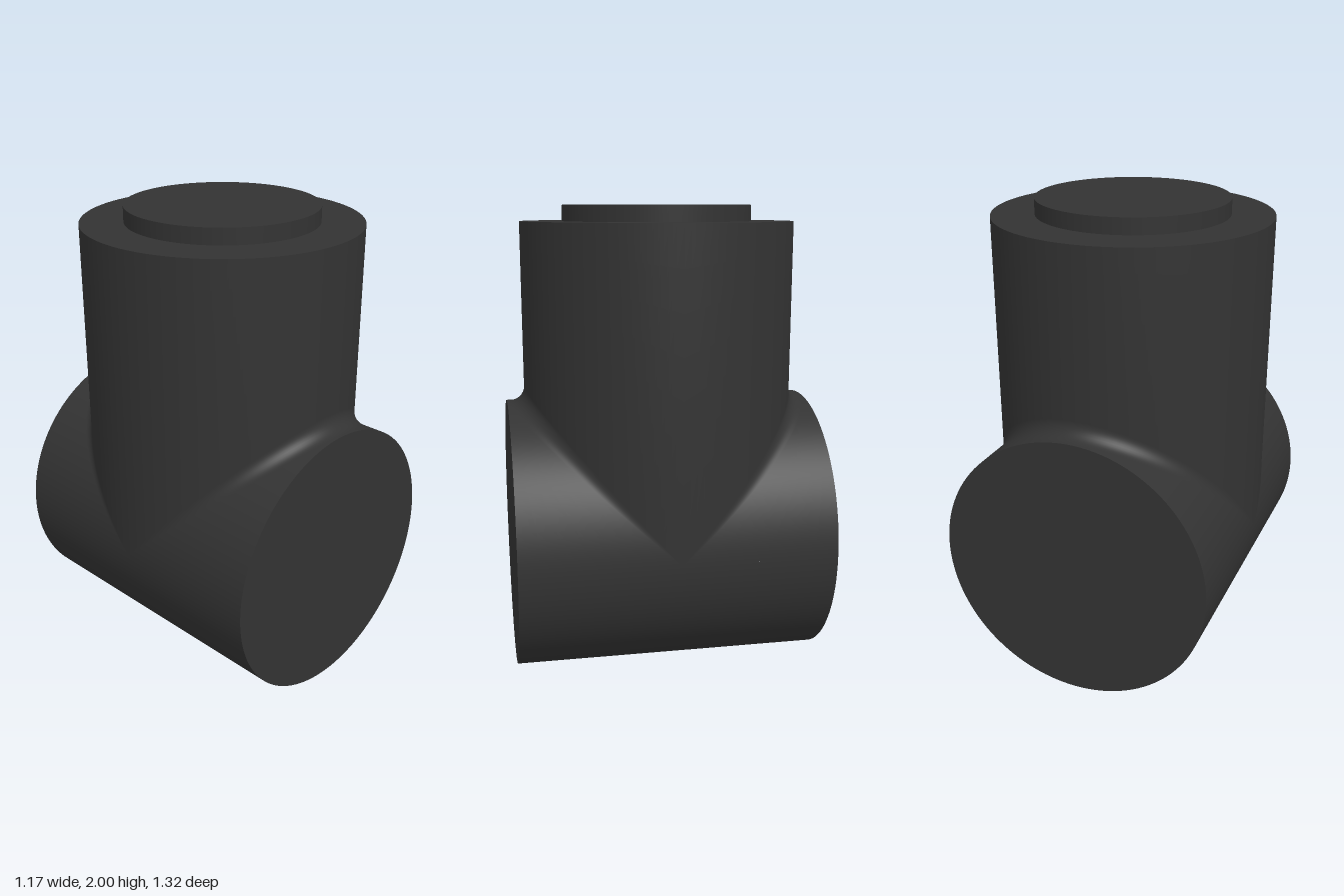
import * as THREE from 'three';

const R = 0.583;      // radius of both pipes
const FILLET = 0.065; // blend radius where they meet
const HALF = 0.658;   // half length of the horizontal pipe
const SHOULDER = 1.933, TOP = 2, STUB_R = 0.403;
const K = R + FILLET;

const material = new THREE.MeshStandardMaterial({ color: 0x333333 });

// Grid surface from fn(u, v) -> [position, normal]; faces are wound to agree with the normals
function patch(fn, nu, nv) {
  const pos = [], nor = [], index = [];
  for (let i = 0; i <= nu; i++) {
    for (let j = 0; j <= nv; j++) {
      const [p, n] = fn(i / nu, j / nv);
      pos.push(p.x, p.y, p.z);
      nor.push(n.x, n.y, n.z);
    }
  }
  const at = (arr, k) => new THREE.Vector3().fromArray(arr, k * 3);
  const tri = (a, b, c) => {
    const A = at(pos, a);
    const face = at(pos, b).sub(A).cross(at(pos, c).sub(A));
    if (face.length() < 1e-10) return;
    if (face.dot(at(nor, a)) > 0) index.push(a, b, c);
    else index.push(a, c, b);
  };
  for (let i = 0; i < nu; i++) {
    for (let j = 0; j < nv; j++) {
      const a = i * (nv + 1) + j, b = a + nv + 1;
      tri(a, b, b + 1);
      tri(a, b + 1, a + 1);
    }
  }
  const g = new THREE.BufferGeometry();
  g.setAttribute('position', new THREE.Float32BufferAttribute(pos, 3));
  g.setAttribute('normal', new THREE.Float32BufferAttribute(nor, 3));
  g.setIndex(index);
  return g;
}

const V = (x, y, z) => new THREE.Vector3(x, y, z);

export function createModel() {
  const model = new THREE.Group();
  const add = (name, geometry) => {
    const mesh = new THREE.Mesh(geometry, material);
    mesh.name = name;
    model.add(mesh);
    return mesh;
  };

  // Upright pipe, its lower edge trimmed along the blend
  add('uprightPipe', patch((u, v) => {
    const t = u * Math.PI * 2, s = Math.sin(t), c = Math.cos(t);
    const y = THREE.MathUtils.lerp(R + K * Math.abs(c), SHOULDER, v);
    return [V(R * s, y, R * c), V(s, 0, c)];
  }, 128, 8));

  // Lower half of the horizontal pipe
  add('crossPipeUnderside', patch((u, v) => {
    const t = Math.PI * (0.5 + u), s = Math.sin(t), c = Math.cos(t);
    return [V(R * s, R + R * c, HALF * (2 * v - 1)), V(s, c, 0)];
  }, 64, 8));

  for (const side of [1, -1]) {
    const end = side > 0 ? 'front' : 'back';

    // Upper half of the horizontal pipe, trimmed along the blend
    add(end + 'CrossPipe', patch((u, v) => {
      const t = Math.PI * (u - 0.5), s = Math.sin(t), c = Math.cos(t);
      const z = THREE.MathUtils.lerp(K * c, HALF, v);
      return [V(R * s, R + R * c, side * z), V(s, c, 0)];
    }, 64, 6));

    // Rolling-ball blend between the two pipes
    add(end + 'Fillet', patch((u, v) => {
      const t = Math.PI * (u - 0.5), s = Math.sin(t), c = Math.cos(t);
      const n = V(s, 0, side * c).lerp(V(s, c, 0), v).normalize();
      const p = V(K * s, R + K * c, side * K * c).addScaledVector(n, -FILLET);
      return [p, n];
    }, 64, 12));

    // Flat end face
    const face = add(end + 'EndFace', new THREE.CircleGeometry(R, 128));
    face.position.set(0, R, side * HALF);
    if (side < 0) face.rotation.y = Math.PI;
  }

  // Flat shoulder around the raised stub
  const shoulder = add('shoulder', new THREE.RingGeometry(STUB_R, R, 128));
  shoulder.rotation.x = -Math.PI / 2;
  shoulder.position.y = SHOULDER;

  // Raised stub on top
  const stub = add('stubWall', new THREE.CylinderGeometry(STUB_R, STUB_R, TOP - SHOULDER, 128, 1, true));
  stub.position.y = (TOP + SHOULDER) / 2;
  const stubTop = add('stubTop', new THREE.CircleGeometry(STUB_R, 128));
  stubTop.rotation.x = -Math.PI / 2;
  stubTop.position.y = TOP;

  return model;
}
